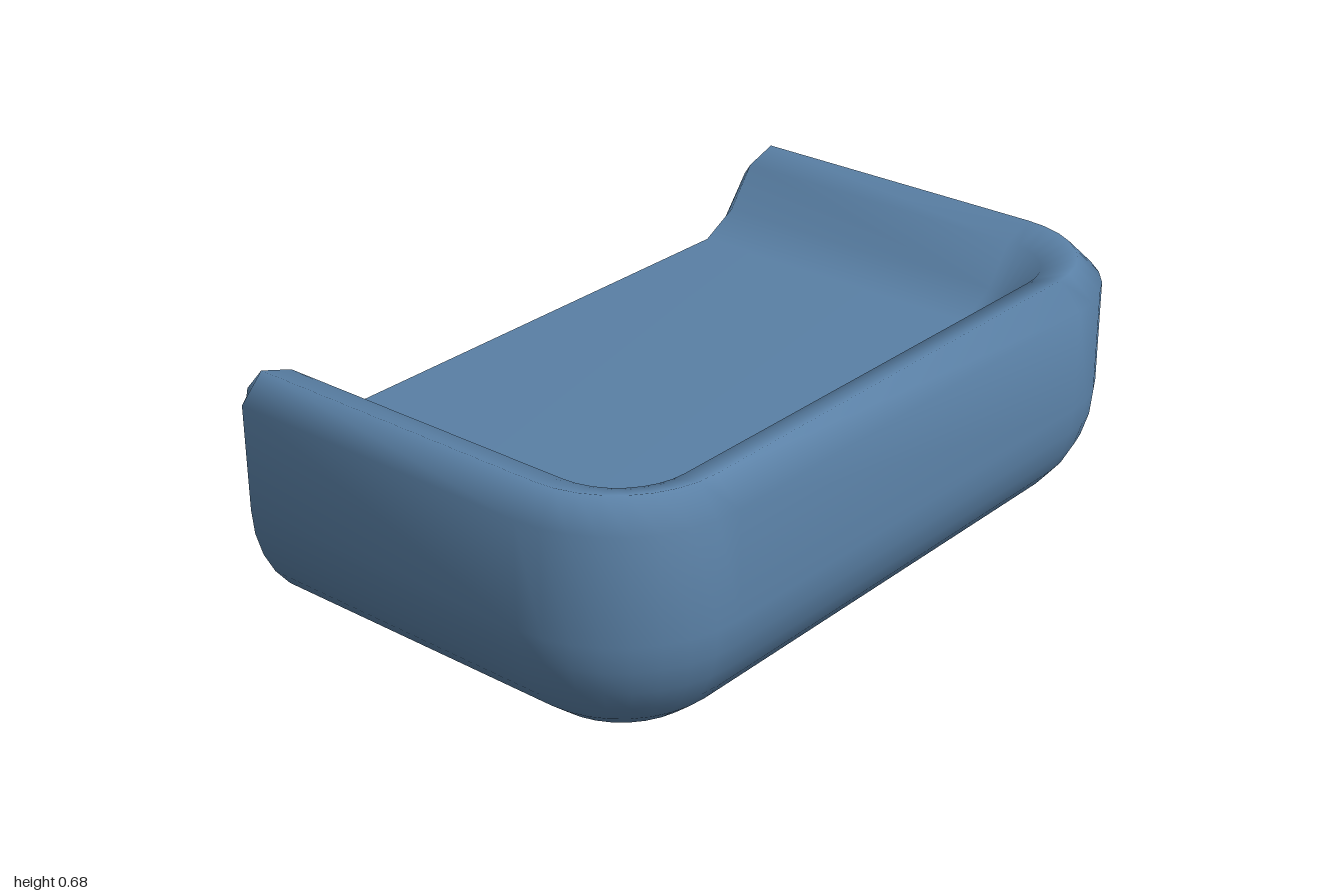
import * as THREE from 'three';
import { mergeVertices } from 'three/addons/utils/BufferGeometryUtils.js';

const R = 0.34;                  // big corner radius
const HX = 1, HZ = 0.625;        // half width and half depth
const ZB = -0.565;               // where the back bevel begins
const STEPS = 8;

// Rounded outer edge from the underside up to the wall, as [x, y].
function fillet(radius) {
  return Array.from({ length: STEPS + 1 }, (_, i) => {
    const a = (i / STEPS) * Math.PI / 2;
    return [HX - R + radius * Math.sin(a), R - radius * Math.cos(a)];
  });
}

export function createModel() {
  const blue = new THREE.MeshStandardMaterial({ color: 0x5b82a8 });
  blue.name = 'slate blue';

  // Wall section: underside, outer wall, rim, sloped inner wall, floor edge
  const section = [...fillet(R),
    [1, 0.61], [0.935, 0.675], [0.845, 0.645], [0.765, 0.54], [0.66, 0.485]];
  // The same section drawn in by the bevel, for the flat back
  const inset = [...fillet(R - 0.065),
    [0.935, 0.59], [0.93, 0.61], [0.895, 0.59], [0.81, 0.485], [0.685, 0.42]];

  const verts = [];
  const tri = (...pts) => pts.forEach((p) => verts.push(...p));
  const quad = (a, b, c, d) => { tri(a, b, c); tri(a, c, d); };

  // U-shaped path of one section point: right back, two front corners, left back
  const ring = ([x, y]) => {
    const r = x - (HX - R), pts = [[x, y, ZB]];
    for (const side of [1, -1]) {
      for (let i = 0; i <= STEPS; i++) {
        const t = (side > 0 ? i : STEPS - i) / STEPS * Math.PI / 2;
        pts.push([side * (HX - R + r * Math.cos(t)), y, HZ - R + r * Math.sin(t)]);
      }
    }
    pts.push([-x, y, ZB]);
    return pts;
  };

  // Walls and rim
  const rings = section.map(ring);
  for (let j = 0; j < rings.length - 1; j++) {
    for (let i = 0; i < rings[j].length - 1; i++) {
      quad(rings[j][i], rings[j + 1][i], rings[j + 1][i + 1], rings[j][i + 1]);
    }
  }

  // Tray floor and underside
  const c = HX - R, f = HZ - R, top = section.at(-1)[1];
  quad([-c, top, f], [c, top, f], [c, top, ZB], [-c, top, ZB]);
  quad([-c, 0, ZB], [c, 0, ZB], [c, 0, f], [-c, 0, f]);

  // Bevel around the open back, then the flat back face
  const loop = (half, z) => [
    ...half.map(([x, y]) => [x, y, z]),
    ...half.slice().reverse().map(([x, y]) => [-x, y, z])];
  const outer = loop(section, ZB), inner = loop(inset, -HZ);
  outer.forEach((p, k) => {
    const n = (k + 1) % outer.length;
    quad(p, inner[k], inner[n], outer[n]);
  });
  const outline = inner.map(([x, y]) => new THREE.Vector2(x, y));
  for (const [a, b, d] of THREE.ShapeUtils.triangulateShape(outline, [])) {
    tri(inner[a], inner[d], inner[b]);
  }

  // Weld into one smooth shell
  let geometry = new THREE.BufferGeometry();
  geometry.setAttribute('position', new THREE.Float32BufferAttribute(verts, 3));
  geometry = mergeVertices(geometry, 1e-4);
  geometry.computeVertexNormals();

  const tray = new THREE.Mesh(geometry, blue);
  tray.name = 'openBackedTray';
  const group = new THREE.Group();
  group.name = 'tray';
  group.add(tray);
  return group;
}
